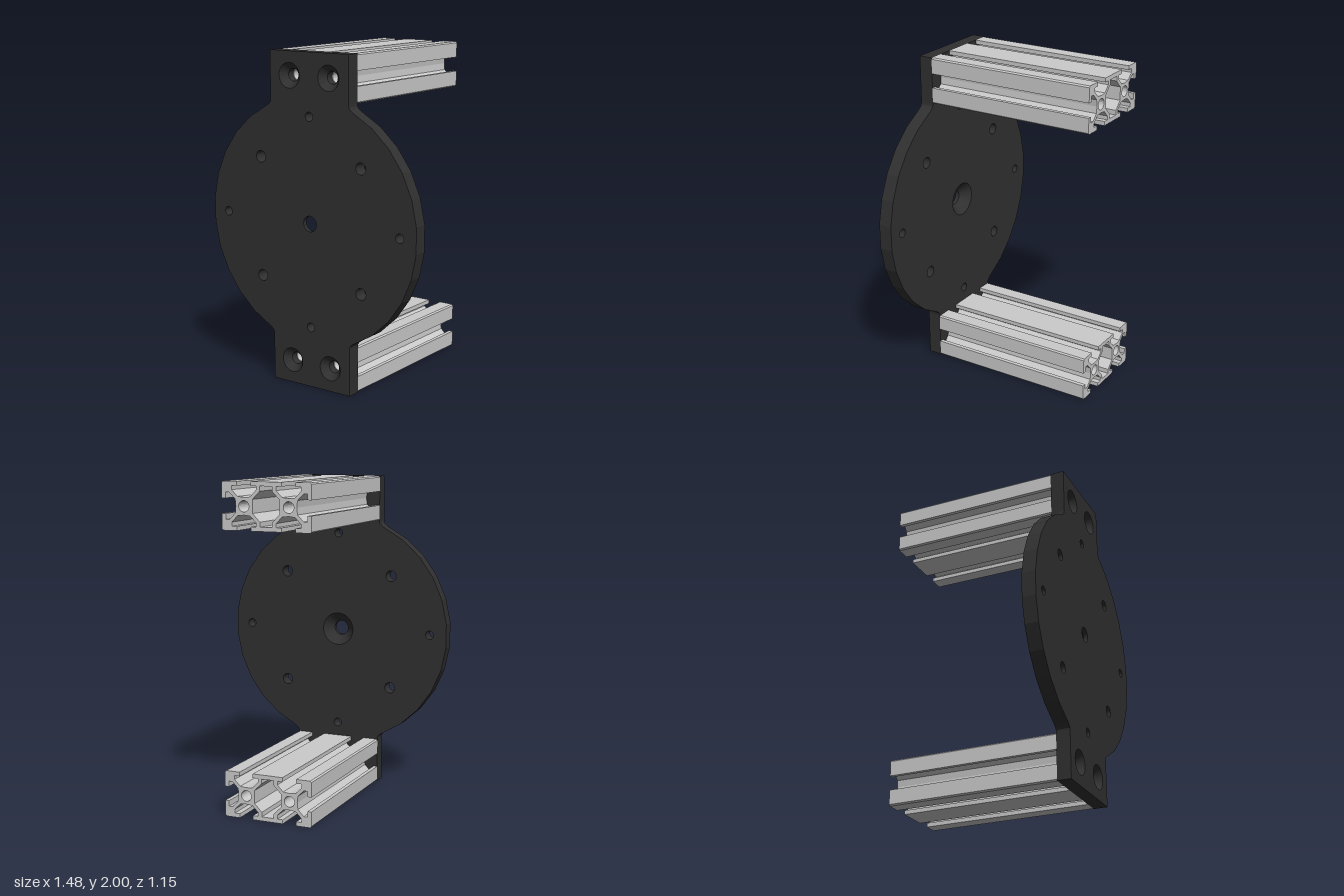
import * as THREE from 'three';
import { mergeGeometries } from 'three/addons/utils/BufferGeometryUtils.js';

const MM = 0.01413;                    // slotted rails are drawn in millimetres
const BACK = -0.575, SEAT = 0.49, FRONT = 0.575;
const V = (x, y) => new THREE.Vector2(x, y);

// Ring of points, counter-clockwise
function ring(x, y, r, n = 28) {
  return Array.from({ length: n }, (_, i) => {
    const a = (i / n) * Math.PI * 2;
    return V(x + r * Math.cos(a), y + r * Math.sin(a));
  });
}

// Wall between two matching closed loops at different depths
function wall(a, za, b, zb) {
  const pos = [];
  a.forEach((p, i) => {
    const j = (i + 1) % a.length, p2 = a[j], q = b[i], q2 = b[j];
    pos.push(p.x, p.y, za, p2.x, p2.y, za, q2.x, q2.y, zb);
    pos.push(p.x, p.y, za, q2.x, q2.y, zb, q.x, q.y, zb);
  });
  const g = new THREE.BufferGeometry();
  g.setAttribute('position', new THREE.Float32BufferAttribute(pos, 3));
  g.computeVertexNormals();
  return g;
}

// Plate outline around (0, 0): faceted disc with a tab above and below
function plateOutline() {
  const half = [];
  const R = 0.744, end = THREE.MathUtils.degToRad(65.5), n = 11;
  for (let i = 0; i <= n; i++) {
    const a = -end + (2 * end * i) / n;
    half.push(V(R * Math.cos(a), R * Math.sin(a)));
  }
  half.push(V(0.292, 0.69), V(0.284, 0.702), V(0.2826, 0.716), V(0.2826, 1));
  const lower = half.slice(-4).reverse().map(p => V(p.x, -p.y));
  const right = [...lower, ...half];
  return [...right, ...right.map(p => V(-p.x, -p.y))];
}

function plateGeometry() {
  // each hole: position, bore radius, front and back mouth radii, sink depth
  const holes = [{ x: 0, y: 0, r: 0.047, f: 0.047, b: 0.105, d: 0.058 }];
  for (let i = 0; i < 4; i++) {
    const a = (i * Math.PI) / 2, c = a + Math.PI / 4;
    holes.push({ x: 0.63 * Math.cos(a), y: 0.63 * Math.sin(a), r: 0.027, f: 0.027, b: 0.027, d: 0 });
    holes.push({ x: 0.516 * Math.cos(c), y: 0.516 * Math.sin(c), r: 0.035, f: 0.035, b: 0.035, d: 0 });
    const sx = i % 2 ? 1 : -1, sy = i < 2 ? 1 : -1;
    holes.push({ x: sx * 0.141, y: sy * 0.859, r: 0.037, f: 0.075, b: 0.037, d: 0.04 });
  }
  const outline = plateOutline();
  const cap = key => {
    const s = new THREE.Shape(outline);
    holes.forEach(h => s.holes.push(new THREE.Path(ring(h.x, h.y, h[key]))));
    const g = new THREE.ShapeGeometry(s).toNonIndexed();
    g.deleteAttribute('uv');
    return g;
  };
  // the plate is symmetric, so the back cap is a half turn of the same outline
  const parts = [
    cap('f').translate(0, 0, FRONT),
    cap('b').rotateY(Math.PI).translate(0, 0, SEAT),
    wall(outline, SEAT, outline, FRONT),
  ];
  // bores and countersinks
  holes.forEach(h => {
    const loop = r => ring(h.x, h.y, r).reverse();
    const z0 = h.b > h.r ? SEAT + h.d : SEAT;
    const z1 = h.f > h.r ? FRONT - h.d : FRONT;
    parts.push(wall(loop(h.r), z0, loop(h.r), z1));
    if (h.b > h.r) parts.push(wall(loop(h.b), SEAT, loop(h.r), z0));
    if (h.f > h.r) parts.push(wall(loop(h.r), z1, loop(h.f), FRONT));
  });
  return mergeGeometries(parts);
}

// Double-width T-slot section
function railGeometry() {
  const side = [[3.1, 10], [3.1, 8.2], [5.5, 8.2], [5.5, 6.56], [2.84, 3.9]];
  const slot = [...side, [0, 3.6], ...side.map(([x, y]) => [-x, y]).reverse()];
  const c = 0.6;
  const half = [
    ...slot.map(([x, y]) => [y + 10, -x]),
    [20, 10 - c], [20 - c, 10],
    ...slot.map(([x, y]) => [x + 10, y]),
    ...slot.map(([x, y]) => [x - 10, y]),
    [-20 + c, 10], [-20, 10 - c],
  ];
  const toV = ([x, y]) => V(x * MM, y * MM);
  const shape = new THREE.Shape([...half, ...half.map(([x, y]) => [-x, -y])].map(toV));
  // central hollow and the two core bores
  const q = [[6.1, -2.84], [6.1, 2.84], [2.74, 6.2], [2.74, 8.2], [-2.74, 8.2], [-2.74, 6.2]];
  shape.holes.push(new THREE.Path([...q, ...q.map(([x, y]) => [-x, -y])]
    .filter((p, i, all) => all.findIndex(o => o[0] === p[0] && o[1] === p[1]) === i).map(toV)));
  [-10, 10].forEach(x => shape.holes.push(new THREE.Path(ring(x * MM, 0, 0.033, 24))));
  return new THREE.ExtrudeGeometry(shape, { depth: SEAT - BACK, bevelEnabled: false })
    .translate(0, 0, BACK);
}

export function createModel() {
  const model = new THREE.Group();
  model.name = 'mountingBracket';
  const dark = new THREE.MeshStandardMaterial({ color: 0x303030 });
  const grey = new THREE.MeshStandardMaterial({ color: 0xcccccc });

  const plate = new THREE.Mesh(plateGeometry(), dark);
  plate.name = 'mountingPlate';
  plate.position.y = 1;
  model.add(plate);

  const rail = railGeometry();
  [['upperRail', 2 - 10 * MM], ['lowerRail', 10 * MM]].forEach(([name, y]) => {
    const mesh = new THREE.Mesh(rail, grey);
    mesh.name = name;
    mesh.position.y = y;
    model.add(mesh);
  });
  return model;
}
